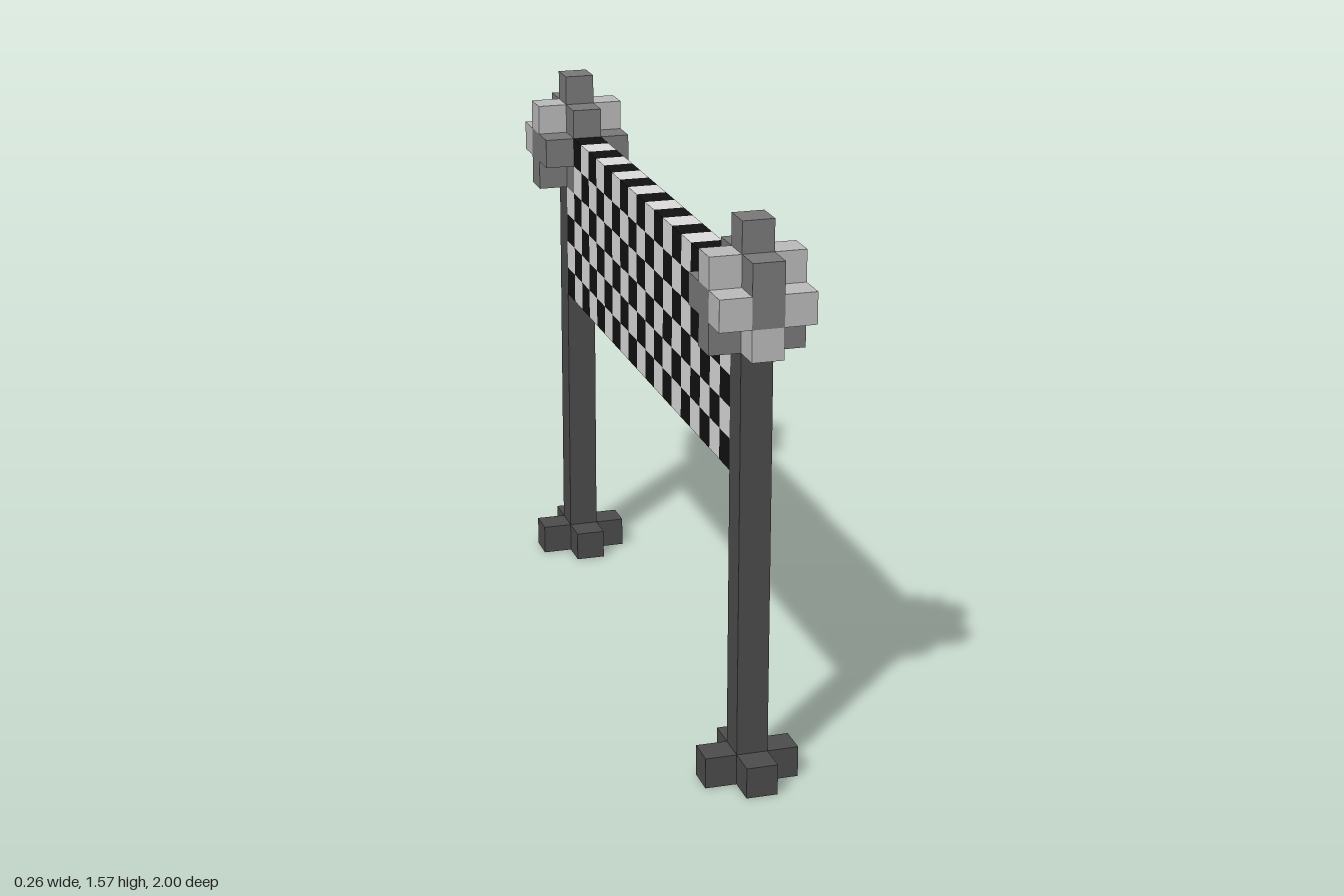
import * as THREE from 'three';

const U = 2 / 23; // one block

const mat = (name, color) => {
  const m = new THREE.MeshStandardMaterial({ color });
  m.name = name;
  return m;
};

export function createModel() {
  const white = mat('white check', 0xdddddd);
  const black = mat('black check', 0x111111);
  const postGrey = mat('post grey', 0x4c4c4c);
  const lightGrey = mat('light grey', 0xbbbbbb);
  const midGrey = mat('mid grey', 0x7a7a7a);

  const root = new THREE.Group();
  root.name = 'checkeredBanner';
  const cube = new THREE.BoxGeometry(U, U, U);

  // one block at grid column x, row y (0 = ground) and depth z
  const block = (parent, name, material, x, y, z) => {
    const mesh = new THREE.Mesh(cube, material);
    mesh.name = name;
    mesh.position.set(x * U, (y + 0.5) * U, z * U);
    parent.add(mesh);
    return mesh;
  };
  const cross = [[0, 1], [0, -1], [1, 0], [-1, 0]];

  for (const side of [1, -1]) {
    const z0 = side * 10;
    const end = side > 0 ? 'front' : 'back';

    // upright pole
    const post = block(root, end + 'Post', postGrey, 0, 6.5, z0);
    post.scale.y = 14;

    // cross-shaped foot
    const foot = new THREE.Group();
    foot.name = end + 'Foot';
    for (const [x, d] of cross) block(foot, 'footBlock', postGrey, x, 0, z0 + d);
    root.add(foot);

    // rounded cluster on top; d = 1 points away from the banner
    const knob = new THREE.Group();
    knob.name = end + 'Knob';
    const add = (m, x, y, d) => block(knob, 'knobBlock', m, x, y, z0 + side * d);
    const core = block(knob, 'knobCore', midGrey, 0, 15.5, z0);
    core.scale.y = 4;
    for (const [x, d] of cross) {
      add(d === 1 ? lightGrey : midGrey, x, 14, d);
      add(midGrey, x, 15, d);
      add(x !== 0 ? lightGrey : midGrey, x, 16, d);
    }
    for (const x of [-1, 1]) {
      add(lightGrey, x, 15, 1);
      add(midGrey, x, 15, -1);
    }
    root.add(knob);
  }

  // checkered banner between the posts
  const banner = new THREE.Group();
  banner.name = 'banner';
  for (let y = 10; y <= 15; y++) {
    const reach = y >= 14 ? 8 : 9; // the knobs fill the upper end squares
    for (let z = -reach; z <= reach; z++) {
      const dark = (y + Math.abs(z)) % 2 === 1;
      block(banner, dark ? 'blackCheck' : 'whiteCheck', dark ? black : white, 0, y, z);
    }
  }
  root.add(banner);

  return root;
}
